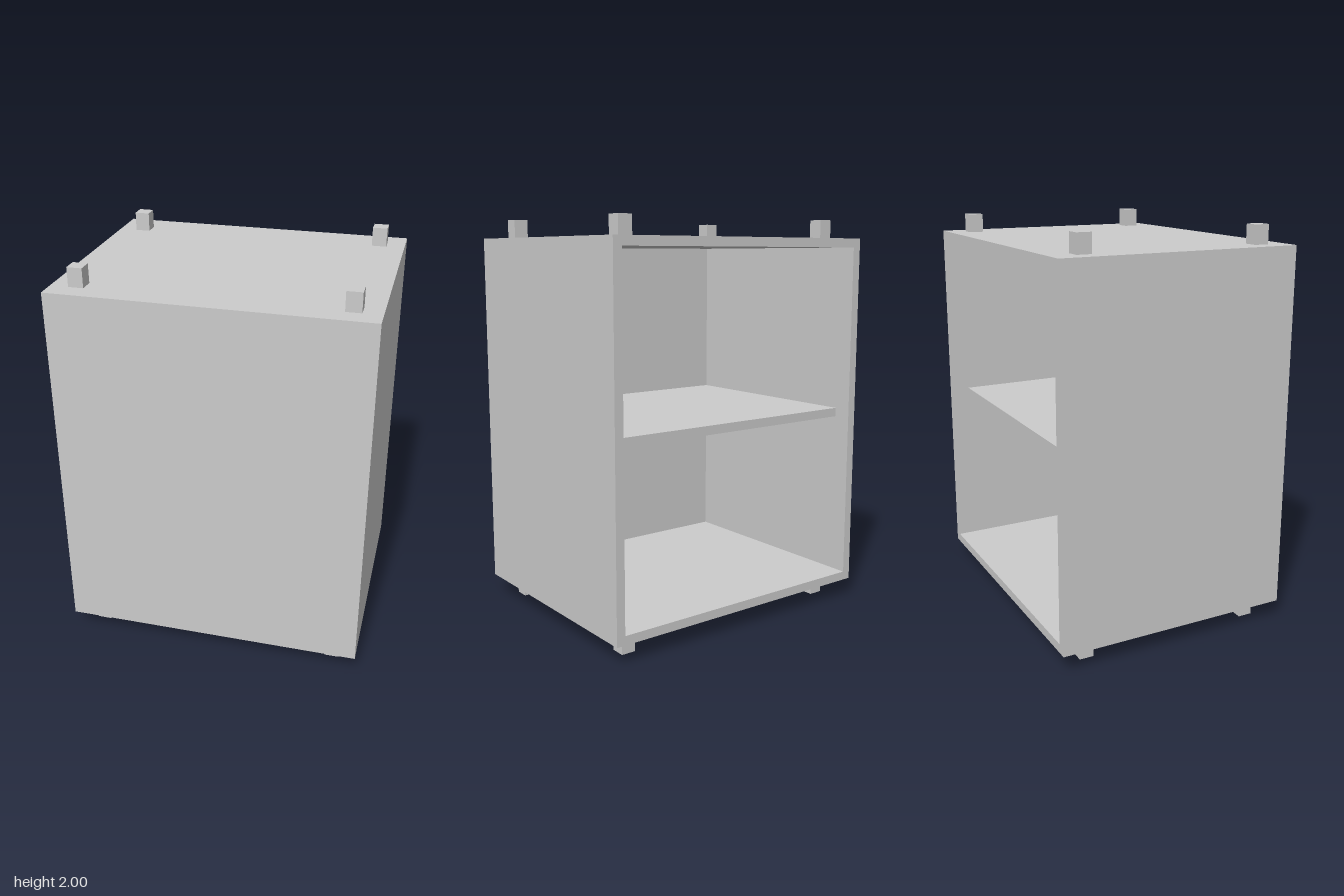
import * as THREE from 'three';

export function createModel() {
  const group = new THREE.Group();
  const material = new THREE.MeshStandardMaterial({ color: 0xcccccc, flatShading: true });

  // Box given by its lower and upper corners
  const addBox = (name, [x0, y0, z0], [x1, y1, z1]) => {
    const mesh = new THREE.Mesh(new THREE.BoxGeometry(x1 - x0, y1 - y0, z1 - z0), material);
    mesh.position.set((x0 + x1) / 2, (y0 + y1) / 2, (z0 + z1) / 2);
    mesh.name = name;
    group.add(mesh);
  };

  const X = 0.755, Z = 0.605, bottom = 0.093, top = 1.907; // cabinet bounds
  const wall = 0.045, front = 0.03;                        // board thicknesses

  // Cabinet frame: one rectangular ring, open at the back
  const outline = new THREE.Shape([[-X, bottom], [X, bottom], [X, top], [-X, top]]
    .map(([x, y]) => new THREE.Vector2(x, y)));
  const xi = X - wall, yb = bottom + wall, yt = top - wall;
  outline.holes.push(new THREE.Path([[-xi, yb], [-xi, yt], [xi, yt], [xi, yb]]
    .map(([x, y]) => new THREE.Vector2(x, y))));
  const frame = new THREE.Mesh(
    new THREE.ExtrudeGeometry(outline, { depth: 2 * Z - front, bevelEnabled: false }), material);
  frame.position.z = -Z;
  frame.name = 'cabinetFrame';
  group.add(frame);

  // Closed front panel and the middle shelf, set in from the open back
  addBox('frontPanel', [-X, bottom, Z - front], [X, top, Z]);
  addBox('shelf', [-xi, 0.978, -0.515], [xi, 1.023, Z - front]);

  // Square feet below and matching stacking pegs above; one corner sits further in
  const h = 0.0365;
  const corners = [
    ['FrontLeft', 0.627, 0.472], ['FrontRight', -0.63, 0.472],
    ['BackLeft', 0.627, -0.472], ['BackRight', -0.63, -0.444],
  ];
  for (const [corner, x, z] of corners) {
    addBox('foot' + corner, [x - h, 0, z - h], [x + h, bottom, z + h]);
    addBox('peg' + corner, [x - h, top, z - h], [x + h, 2, z + h]);
  }
  return group;
}
